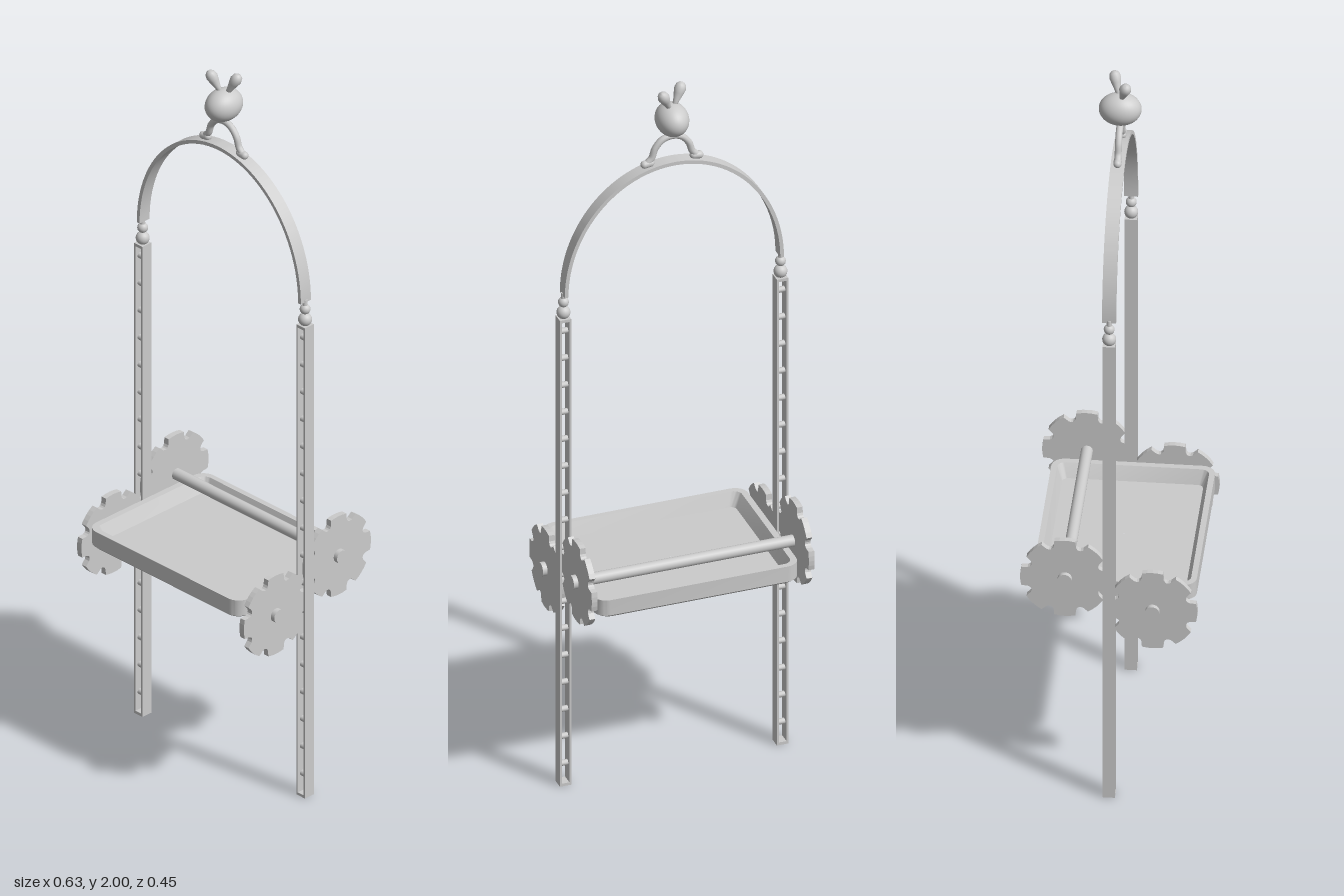
import * as THREE from 'three';
import { toCreasedNormals } from 'three/addons/utils/BufferGeometryUtils.js';

const grey = new THREE.MeshStandardMaterial({ color: 0xcccccc });
const POST_X = 0.296, POST_H = 1.38;

function add(parent, name, geometry, x = 0, y = 0, z = 0) {
  const mesh = new THREE.Mesh(geometry, grey);
  mesh.name = name;
  mesh.position.set(x, y, z);
  parent.add(mesh);
  return mesh;
}

// Cylinder lying along x
function rod(radius, length, sides = 24) {
  return new THREE.CylinderGeometry(radius, radius, length, sides).rotateZ(Math.PI / 2);
}

// Points of a rounded rectangle in the xz plane
function roundedRing(hw, hd, r, y) {
  const points = [];
  for (let c = 0; c < 4; c++) {
    const sx = c === 0 || c === 3 ? 1 : -1, sz = c < 2 ? 1 : -1;
    for (let i = 0; i <= 6; i++) {
      const a = (c + i / 6) * Math.PI / 2;
      points.push([sx * (hw - r) + r * Math.cos(a), y, sz * (hd - r) + r * Math.sin(a)]);
    }
  }
  return points;
}

// Tray lofted through rings: underside, outer wall, rim, inner slope, floor
function trayGeometry() {
  const rings = [
    roundedRing(0.001, 0.001, 0.0005, 0.588),
    roundedRing(0.270, 0.203, 0.035, 0.588),
    roundedRing(0.277, 0.210, 0.035, 0.595),
    roundedRing(0.277, 0.210, 0.035, 0.640),
    roundedRing(0.260, 0.195, 0.022, 0.640),
    roundedRing(0.243, 0.181, 0.016, 0.603),
    roundedRing(0.001, 0.001, 0.0005, 0.603),
  ];
  const n = rings[0].length, index = [];
  for (let k = 0; k < rings.length - 1; k++) {
    for (let i = 0; i < n; i++) {
      const a = k * n + i, b = k * n + (i + 1) % n;
      index.push(a, a + n, b, b, a + n, b + n);
    }
  }
  const geometry = new THREE.BufferGeometry();
  geometry.setAttribute('position', new THREE.Float32BufferAttribute(rings.flat(2), 3));
  geometry.setIndex(index);
  return toCreasedNormals(geometry, 0.5);
}

// Eight broad teeth separated by rounded notches; the axle runs along x
function gearGeometry() {
  const shape = new THREE.Shape(), teeth = 8, outer = 0.115, depth = 0.022;
  const step = Math.PI * 2 / teeth, half = 0.24;
  for (let t = 0; t < teeth; t++) {
    for (let i = 0; i <= 4; i++) {
      const a = t * step - half + half * 2 * i / 4;
      const p = [outer * Math.cos(a), outer * Math.sin(a)];
      if (t + i === 0) shape.moveTo(...p); else shape.lineTo(...p);
    }
    for (let i = 1; i < 6; i++) {
      const a = t * step + half + (step - half * 2) * i / 6;
      const r = outer - depth * Math.sqrt(Math.sin(Math.PI * i / 6));
      shape.lineTo(r * Math.cos(a), r * Math.sin(a));
    }
  }
  shape.closePath();
  return new THREE.ExtrudeGeometry(shape, { depth: 0.016, bevelEnabled: false })
    .translate(0, 0, -0.008).rotateY(Math.PI / 2);
}

// Flat strap bent into a half ellipse
function archGeometry() {
  const shape = new THREE.Shape();
  shape.absellipse(0, 0, 0.299, 0.342, 0, Math.PI, false);
  const inner = new THREE.EllipseCurve(0, 0, 0.289, 0.332, 0, Math.PI).getPoints(48).reverse();
  inner.forEach((p) => shape.lineTo(p.x, p.y));
  shape.closePath();
  const geometry = new THREE.ExtrudeGeometry(shape, { depth: 0.036, bevelEnabled: false, curveSegments: 48 });
  return toCreasedNormals(geometry.translate(0, 0, -0.018), 0.5);
}

// Ladder-like toothed post with ball finial
function makePost(side) {
  const post = new THREE.Group();
  post.name = side > 0 ? 'leftPost' : 'rightPost';
  post.position.x = side * POST_X;
  for (const s of [-1, 1]) {
    add(post, 'rail', new THREE.BoxGeometry(0.005, POST_H, 0.032), s * 0.013, POST_H / 2, 0);
  }
  for (const y of [0.004, POST_H - 0.004]) {
    add(post, 'endPlate', new THREE.BoxGeometry(0.031, 0.008, 0.032), 0, y, 0);
  }
  for (let i = 0; i < 17; i++) {
    add(post, 'rung', rod(0.008, 0.024, 12), 0, 0.06 + i * 0.08, 0);
  }
  add(post, 'lowerFinialBall', new THREE.SphereGeometry(0.018, 20, 14), 0, 1.395, 0);
  add(post, 'upperFinialBall', new THREE.SphereGeometry(0.014, 20, 14), 0, 1.425, 0);
  add(post, 'finialNeck', new THREE.CylinderGeometry(0.006, 0.008, 0.03, 12), 0, 1.438, 0);
  return post;
}

// Axle with a gear and end cap on each side
function makeAxle(name, y, z) {
  const axle = new THREE.Group();
  axle.name = name;
  axle.position.set(0, y, z);
  add(axle, 'shaft', rod(0.0155, 0.61));
  for (const s of [-1, 1]) {
    add(axle, 'gear', gearGeometry(), s * POST_X, 0, 0);
    add(axle, 'endCap', rod(0.0185, 0.013), s * 0.31, 0, 0);
  }
  return axle;
}

// Looped stand, egg-shaped ball and two small ears
function makeTopOrnament() {
  const top = new THREE.Group();
  top.name = 'topOrnament';
  const path = new THREE.CatmullRomCurve3([
    [-0.066, 1.79], [-0.055, 1.802], [-0.046, 1.828], [-0.026, 1.85], [0, 1.857],
    [0.026, 1.85], [0.046, 1.828], [0.055, 1.802], [0.066, 1.79],
  ].map(([x, y]) => new THREE.Vector3(x, y, 0)));
  add(top, 'loop', new THREE.TubeGeometry(path, 40, 0.009, 12));
  for (const s of [-1, 1]) {
    const foot = add(top, 'foot', new THREE.CapsuleGeometry(0.0105, 0.016, 6, 14), s * 0.067, 1.787, 0);
    foot.rotation.z = Math.PI / 2 - s * 0.12;

    // Ears splay outwards, one leaning back and one forward
    const profile = [[0, 0], [0.006, 0.004], [0.008, 0.02], [0.013, 0.04], [0.0155, 0.052],
      [0.013, 0.063], [0.007, 0.069], [0, 0.071]].map(([x, y]) => new THREE.Vector2(x, y));
    const ear = add(top, 'ear', new THREE.LatheGeometry(profile, 18), s * 0.006, 1.937, -s * 0.003);
    ear.quaternion.setFromUnitVectors(new THREE.Vector3(0, 1, 0),
      new THREE.Vector3(s * 0.48, 1, -s * 0.27).normalize());
  }
  add(top, 'ball', new THREE.SphereGeometry(1, 32, 22), 0, 1.906, 0).scale.set(0.043, 0.044, 0.055);
  return top;
}

export function createModel() {
  const model = new THREE.Group();
  model.name = 'rackLiftTray';
  model.add(makePost(1), makePost(-1));
  add(model, 'archStrap', archGeometry(), 0, 1.446, 0);
  model.add(makeTopOrnament());
  add(model, 'tray', trayGeometry(), 0, 0, 0.01);
  model.add(makeAxle('frontAxle', 0.575, 0.112), makeAxle('backAxle', 0.66, -0.113));
  return model;
}
